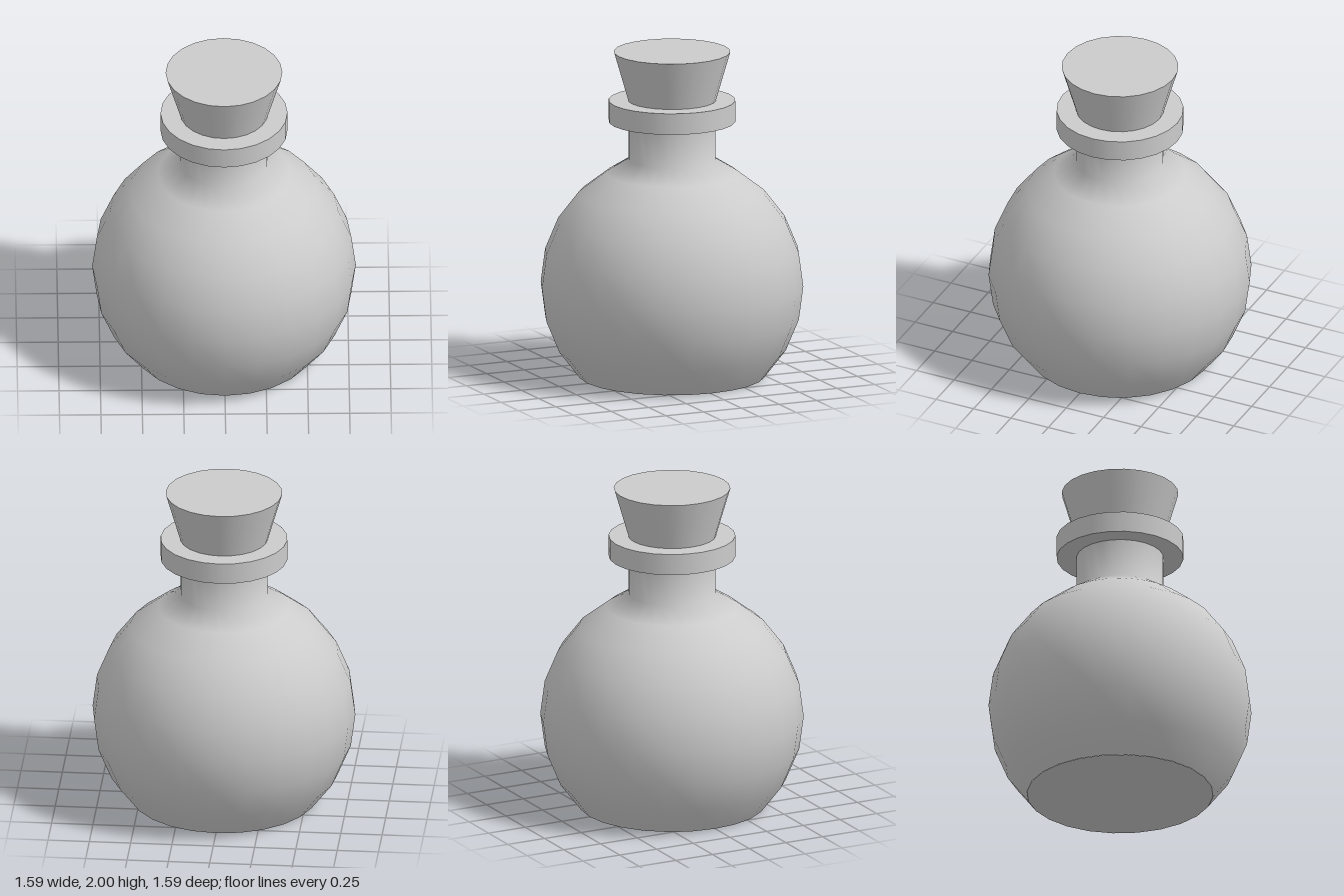
import * as THREE from 'three';

const SIDES = 24;

export function createModel() {
  const group = new THREE.Group();
  const material = new THREE.MeshStandardMaterial({ color: 0xcccccc });

  const add = (name, geometry, y = 0) => {
    const mesh = new THREE.Mesh(geometry, material);
    mesh.name = name;
    mesh.position.y = y;
    group.add(mesh);
    return mesh;
  };

  // Round body: sphere arc in 15 degree steps, cut flat below, running into the neck
  const radius = 0.795, centre = 0.563;
  const profile = [];
  for (let deg = -45; deg <= 60; deg += 15) {
    const a = THREE.MathUtils.degToRad(deg);
    profile.push(new THREE.Vector2(radius * Math.cos(a), Math.max(0, centre + radius * Math.sin(a))));
  }
  profile.push(new THREE.Vector2(0.263, 1.335), new THREE.Vector2(0.263, 1.58));
  add('bodyAndNeck', new THREE.LatheGeometry(profile, SIDES));

  // Flat base, facing down
  add('base', new THREE.CircleGeometry(profile[0].x, SIDES).rotateX(Math.PI / 2));

  // Collar around the mouth
  add('collar', new THREE.CylinderGeometry(0.383, 0.383, 0.13, SIDES), 1.635);

  // Tapered stopper
  add('stopper', new THREE.CylinderGeometry(0.352, 0.265, 0.3, SIDES), 1.85);

  return group;
}
